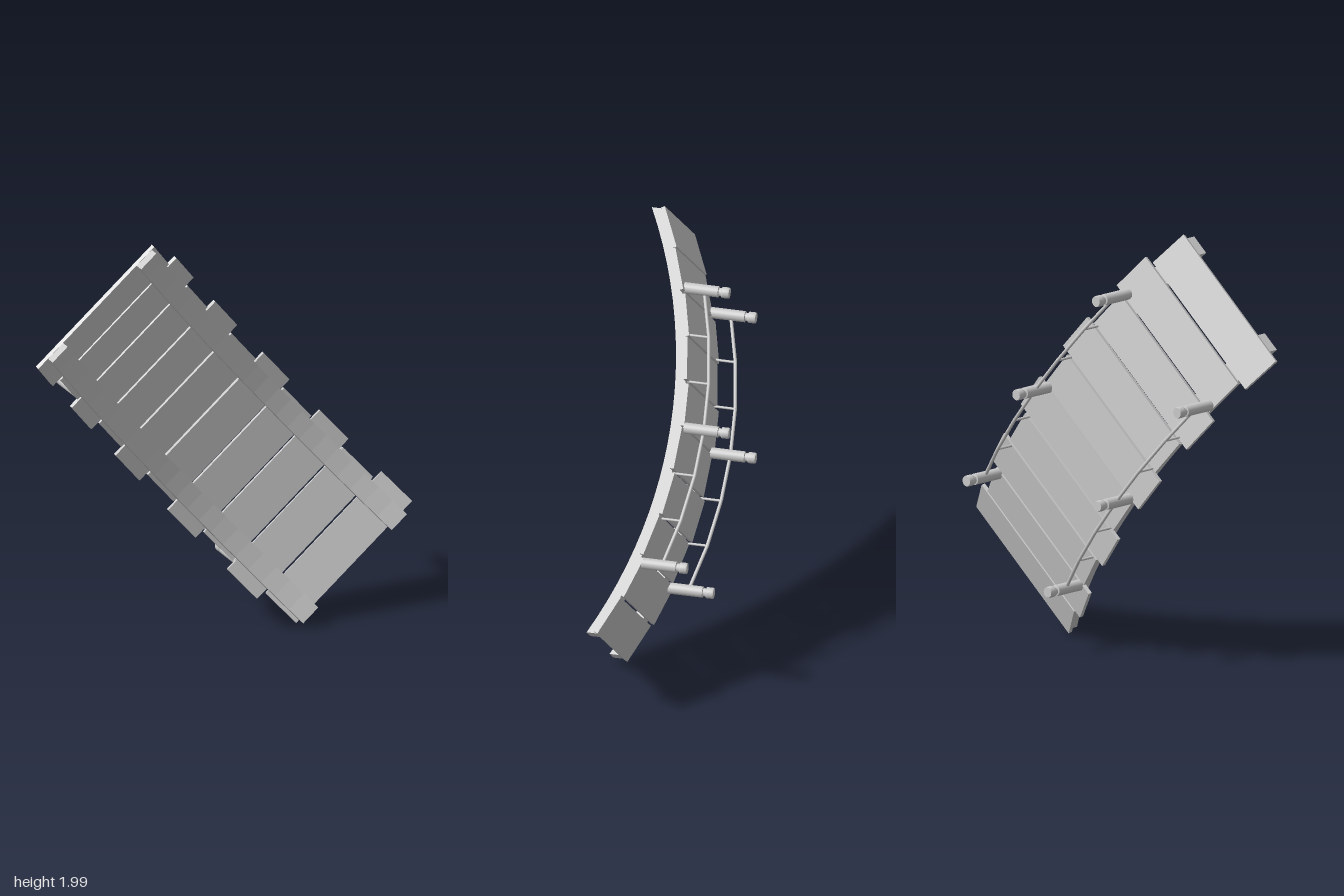
import * as THREE from 'three';

const R = 2.15; // arch radius
const drop = (u) => R - Math.sqrt(R * R - u * u);
const UP = new THREE.Vector3(0, 1, 0);

export function createModel() {
  const model = new THREE.Group();
  model.name = 'archedFootbridge';
  const mat = new THREE.MeshStandardMaterial({ color: 0xcccccc });

  // Bridge space: x along the span, y up from the deck, z across
  const bridge = new THREE.Group();
  bridge.name = 'bridge';
  model.add(bridge);
  const add = (name, geo) => {
    const mesh = new THREE.Mesh(geo, mat);
    mesh.name = name;
    bridge.add(mesh);
    return mesh;
  };

  // Thin round bar between two points
  const bar = (name, a, b, r) => {
    const mesh = add(name, new THREE.CylinderGeometry(r, r, a.distanceTo(b), 10));
    mesh.position.copy(a).lerp(b, 0.5);
    mesh.quaternion.setFromUnitVectors(UP, b.clone().sub(a).normalize());
  };

  // Deck planks, staggered sideways in turn
  const count = 10, step = 0.0965, deckY = 0.039;
  for (let i = 0; i < count; i++) {
    const a = (i - (count - 1) / 2) * step;
    const plank = add('deckPlank', new THREE.BoxGeometry(0.196, 0.018, 0.767));
    const u = R * Math.sin(a);
    plank.position.set(u, deckY - drop(u), i % 2 ? 0.0225 : -0.0225);
    plank.rotation.z = -a;
  }

  // Curved side beams
  const span = 0.988, segs = 24;
  const profile = [];
  for (let i = 0; i <= segs; i++) {
    const u = -span + (2 * span * i) / segs;
    profile.push(new THREE.Vector2(u, 0.032 - drop(u)));
  }
  for (let i = segs; i >= 0; i--) {
    const u = -span + (2 * span * i) / segs;
    profile.push(new THREE.Vector2(u, -0.016 - drop(u)));
  }
  const beamGeo = new THREE.ExtrudeGeometry(new THREE.Shape(profile), { depth: 0.1, bevelEnabled: false });
  beamGeo.translate(0, 0, -0.05);

  // Post with a straight shaft, a narrow neck and a cap
  const postGeo = new THREE.LatheGeometry(
    [[0, 0], [0.026, 0], [0.026, 0], [0.026, 0.16], [0.026, 0.16], [0.019, 0.162], [0.019, 0.162],
      [0.019, 0.173], [0.025, 0.177], [0.026, 0.182], [0.026, 0.204], [0.024, 0.211], [0.024, 0.211], [0, 0.211]]
      .map(([x, y]) => new THREE.Vector2(x, y)), 20);

  for (const side of [-1, 1]) {
    add('sideBeam', beamGeo).position.z = side * 0.293;
    const z = side * 0.337;
    for (const u of [-0.64, 0, 0.64]) add('railPost', postGeo).position.set(u, 0.047 - drop(u), z);

    // Handrail in straight runs, with balusters between the posts
    const rail = [];
    for (let i = -3; i <= 3; i++) {
      const u = i * 0.2133;
      rail.push(new THREE.Vector3(u, 0.139 - drop(u), z));
    }
    rail.forEach((p, i) => {
      if (i) bar('handrail', rail[i - 1], p, 0.008);
      if (i % 3) bar('baluster', new THREE.Vector3(p.x, deckY - drop(p.x), z), p, 0.006);
    });
  }

  // Set the bridge diagonally, with the deck facing the back
  const t = THREE.MathUtils.degToRad(50);
  const c = Math.cos(t), s = Math.sin(t);
  bridge.quaternion.setFromRotationMatrix(new THREE.Matrix4().makeBasis(
    new THREE.Vector3(c, -s, 0), new THREE.Vector3(0, 0, -1), new THREE.Vector3(s, c, 0)));
  bridge.position.y = 1;
  return model;
}
